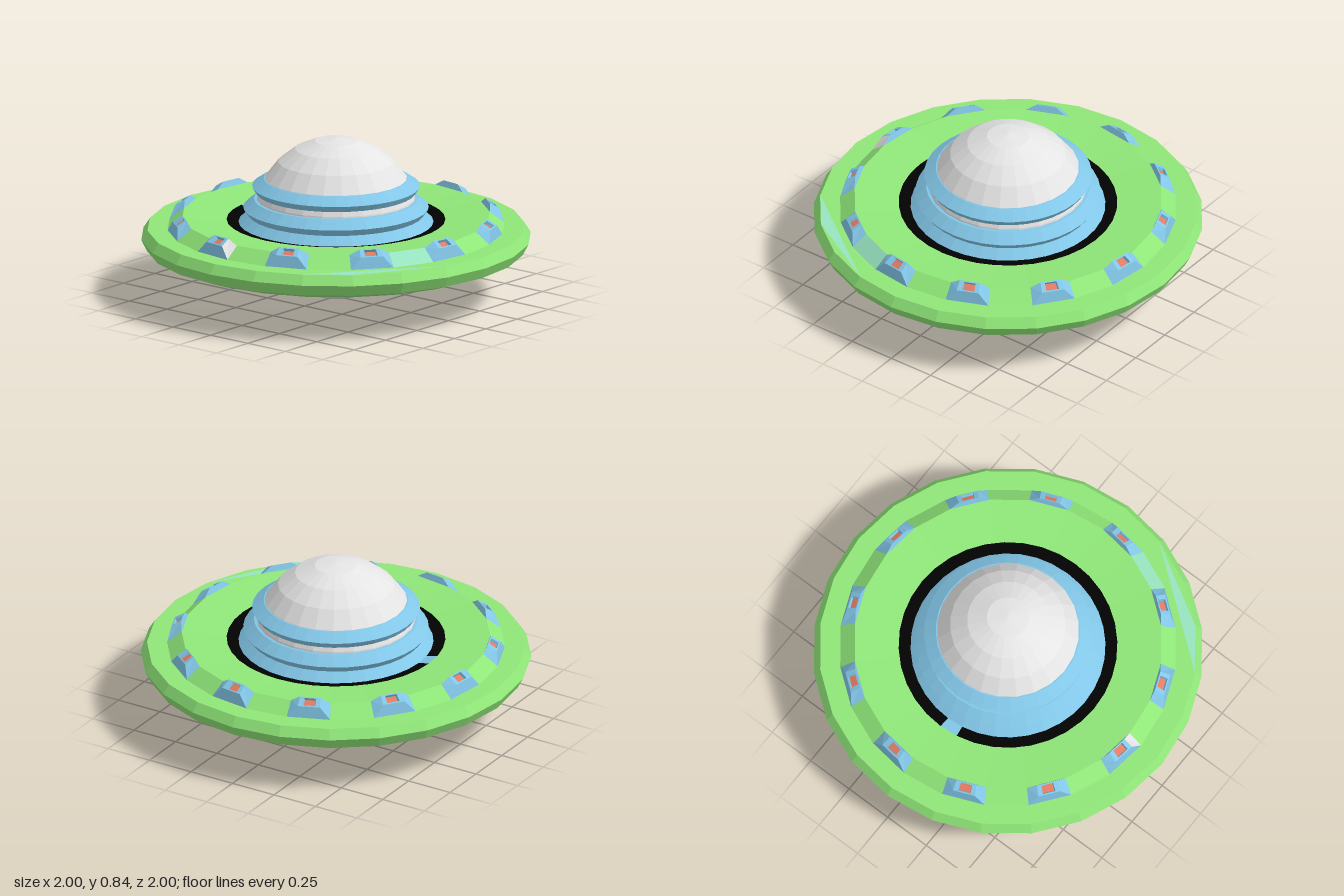
import * as THREE from 'three';

const mat = (name, color) => {
  const m = new THREE.MeshStandardMaterial({ color });
  m.name = name;
  return m;
};
const deg = THREE.MathUtils.degToRad;

export function createModel() {
  const green = mat('hull green', 0x8fe678);
  const blue = mat('trim blue', 0x82c6e7);
  const silver = mat('dome silver', 0xe4e4e4);
  const red = mat('window red', 0xe27a62);
  const black = mat('gap black', 0x020202);
  const teal = mat('patch teal', 0x98e4c0);

  const model = new THREE.Group();
  model.name = 'saucer';

  const add = (parent, name, geometry, material) => {
    const flat = geometry.index ? geometry.toNonIndexed() : geometry;
    flat.computeVertexNormals();
    const mesh = new THREE.Mesh(flat, material);
    mesh.name = name;
    parent.add(mesh);
    return mesh;
  };

  // Faceted turned part; profile runs from the bottom outwards and up
  const turned = (name, profile, material, segments = 24, start = 0, length = 360) =>
    add(model, name, new THREE.LatheGeometry(
      profile.map(([r, y]) => new THREE.Vector2(r, y)), segments, deg(start), deg(length)), material);

  // Separate faces of three or four corners, anticlockwise from outside
  const faces = (list) => {
    const pos = [];
    for (const [a, b, c, d] of list) {
      pos.push(...a, ...b, ...c);
      if (d) pos.push(...a, ...c, ...d);
    }
    const g = new THREE.BufferGeometry();
    g.setAttribute('position', new THREE.Float32BufferAttribute(pos, 3));
    return g;
  };
  const polar = (r, y, angle) => [r * Math.sin(deg(angle)), y, r * Math.cos(deg(angle))];

  // Central ball
  const ball = add(model, 'centralDome', new THREE.SphereGeometry(0.42, 24, 12), silver);
  ball.position.y = 0.42;

  // Hull disc, dished above and below, with a raised ring on the deck
  turned('hull', [[0.385, 0.272], [0.88, 0.23], [0.97, 0.262], [1, 0.32], [0.968, 0.37],
    [0.865, 0.37], [0.79, 0.43], [0.555, 0.408]], green);

  // Dark gap around the collar, with one blue segment
  const gap = [[0.56, 0.41], [0.495, 0.396]];
  turned('collarGap', gap, black, 35, 190, 350);
  turned('collarGapPatch', gap, blue, 1, 180, 10);

  // Blue collars
  turned('lowerCollar', [[0.5, 0.396], [0.45, 0.44], [0.475, 0.475], [0.42, 0.52], [0.39, 0.522]], blue, 36);
  turned('upperCollar', [[0.39, 0.552], [0.41, 0.556], [0.43, 0.588], [0.37, 0.628], [0.35, 0.629]], blue, 36);

  // Teal sliver on the rim and teal facet on the deck slope
  add(model, 'rimPatch', faces([[-60, -45, -15].map((a) => polar(0.966, 0.3715, a))]), teal);
  add(model, 'slopePatch', faces([[
    polar(0.866, 0.3715, -30), polar(0.866, 0.3715, -15),
    polar(0.791, 0.4315, -15), polar(0.791, 0.4315, -30)]]), teal);

  // Window pods on every second slope facet
  const base = [[-0.113, 0.37, 0.857], [0.113, 0.37, 0.857], [0.103, 0.43, 0.783], [-0.103, 0.43, 0.783]];
  const top = [[-0.058, 0.43, 0.845], [0.058, 0.43, 0.845], [0.053, 0.46, 0.795], [-0.053, 0.46, 0.795]];
  const inset = top.map(([x, y, z]) => [x * 0.58, y + (0.445 - y) * 0.25, z + (0.82 - z) * 0.25]);
  const floor = inset.map(([x, y, z]) => [x * 0.9, y - 0.014, z - 0.008]);
  const band = (a, b) => a.map((p, i) => [p, a[(i + 1) % 4], b[(i + 1) % 4], b[i]]);

  for (let i = 0; i < 12; i++) {
    const pod = new THREE.Group();
    pod.name = 'windowPod';
    pod.rotation.y = deg(-97.5 + i * 30);
    model.add(pod);

    const sides = band(base, top);
    const recess = band(inset, floor);
    // Two pods carry a single silver face
    const odd = i === 0 ? sides.splice(1, 1) : i === 6 ? recess.splice(2, 1) : null;
    add(pod, 'podShell', faces([...sides, ...band(top, inset), ...recess]), blue);
    if (odd) add(pod, 'podSilverFace', faces(odd), silver);
    add(pod, 'podWindow', faces([floor]), red);
  }

  return model;
}
